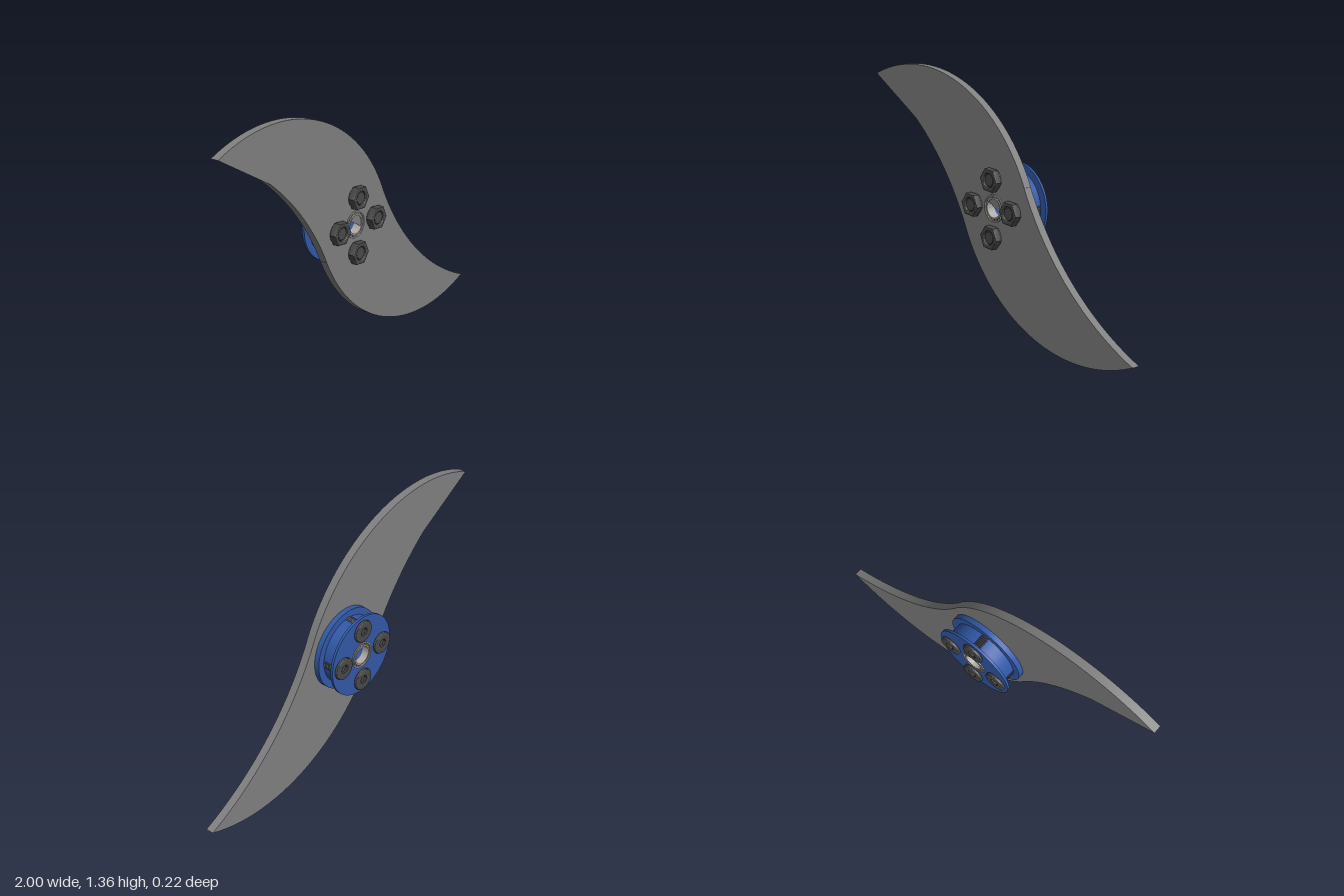
import * as THREE from 'three';
import { toCreasedNormals } from 'three/addons/utils/BufferGeometryUtils.js';

const mat = (color) => new THREE.MeshStandardMaterial({ color });
const steel = mat(0x808080), blue = mat(0x3259a8), dark = mat(0x4a4a4a), silver = mat(0xb0aca6);

function mesh(name, geometry, material) {
  const m = new THREE.Mesh(toCreasedNormals(geometry, 0.5), material);
  m.name = name;
  return m;
}

// Profile of [radius, z] pairs, turned around the z axis
function turned(profile, segments = 64) {
  const pts = profile.map(([r, z]) => new THREE.Vector2(r, z));
  return new THREE.LatheGeometry(pts, segments).rotateX(Math.PI / 2);
}

function polygon(radius, sides, turn = 0, Type = THREE.Shape) {
  const pts = [];
  for (let i = 0; i < sides; i++) {
    const a = turn + (i / sides) * Math.PI * 2;
    pts.push(new THREE.Vector2(radius * Math.cos(a), radius * Math.sin(a)));
  }
  return new Type(pts);
}

// Bevelled plate with a hole, filling z0..z1
function plate(shape, hole, z0, z1, bevel) {
  shape.holes.push(hole);
  return new THREE.ExtrudeGeometry(shape, {
    depth: z1 - z0 - 2 * bevel, bevelEnabled: true, bevelThickness: bevel,
    bevelSize: bevel, bevelSegments: 3,
  }).translate(0, 0, z0 + bevel);
}

// S-shaped blade: one convex and one concave arc, repeated after a half turn
function bladeGeometry() {
  const s = new THREE.Shape();
  for (const k of [1, -1]) {
    const half = k === 1 ? 0 : Math.PI;
    s.absarc(-0.62 * k, -0.26 * k, 0.94, Math.atan2(0.86, -0.38) + half, Math.atan2(0.401, 0.85) + half, true);
    s.absarc(1.59 * k, 0.782 * k, 1.504, Math.atan2(-0.642, -1.36) + half, Math.atan2(-1.382, -0.59) + half, false);
  }
  s.holes.push(polygon(0.072, 48, 0, THREE.Path));
  return new THREE.ExtrudeGeometry(s, { depth: 0.044, bevelEnabled: false, curveSegments: 40 }).translate(0, 0, 0.027);
}

function createBolt() {
  const bolt = new THREE.Group();
  bolt.name = 'bolt';

  // Threaded shank, its ridges showing through the drum wall
  const profile = [[0, -0.097], [0.038, -0.097]];
  for (let z = -0.08; z < 0.02; z += 0.01) profile.push([0.038, z], [0.043, z + 0.005]);
  profile.push([0.038, 0.025], [0.036, 0.03], [0.036, 0.102], [0.031, 0.107], [0, 0.107]);
  bolt.add(mesh('shank', turned(profile, 24), dark));

  // Button head with hex socket
  bolt.add(mesh('boltHead', plate(polygon(0.054, 36), polygon(0.03, 6, 0, THREE.Path), -0.112, -0.093, 0.007), dark));

  // Collar and hex nut
  bolt.add(mesh('nutCollar', turned([[0.036, 0.07], [0.055, 0.07], [0.055, 0.077], [0.036, 0.077]], 36), dark));
  bolt.add(mesh('nut', plate(polygon(0.06, 6, -0.1), polygon(0.042, 24, 0, THREE.Path), 0.075, 0.113, 0.005), dark));
  return bolt;
}

// Ball bearing between z0 and z1, grooved on both faces
function createBearing(z0, z1) {
  const bearing = new THREE.Group();
  bearing.name = 'bearing';
  const ring = (a, b) => turned([[a, z0], [b, z0], [b, z1], [a, z1], [a, z0]], 48);
  bearing.add(mesh('innerRace', ring(0.049, 0.057), silver));
  bearing.add(mesh('outerRace', ring(0.066, 0.073), silver));
  bearing.add(mesh('cage', turned([[0.056, z0 + 0.008], [0.067, z0 + 0.008], [0.067, z1 - 0.008], [0.056, z1 - 0.008]], 48), dark));
  for (const z of [z0 + 0.008, z1 - 0.008]) {
    for (let i = 0; i < 18; i++) {
      const a = (i / 18) * Math.PI * 2;
      const ball = mesh('ball', new THREE.SphereGeometry(0.005, 8, 6), silver);
      ball.position.set(0.0615 * Math.cos(a), 0.0615 * Math.sin(a), z);
      bearing.add(ball);
    }
  }
  return bearing;
}

export function createModel() {
  const model = new THREE.Group();
  model.name = 'spinner';
  const rotor = new THREE.Group();
  rotor.name = 'rotor';
  rotor.position.y = 0.68;
  model.add(rotor);

  rotor.add(mesh('blade', bladeGeometry(), steel));

  // Hub: thick front flange, drum, thin rear flange, bore with a seat for the rear bearing
  rotor.add(mesh('hub', turned([
    [0.072, -0.094], [0.226, -0.094], [0.226, -0.08], [0.187, -0.08], [0.187, -0.002],
    [0.226, -0.002], [0.226, 0.027], [0.053, 0.027], [0.053, -0.06], [0.072, -0.06], [0.072, -0.094],
  ], 72), blue));

  rotor.add(createBearing(0.028, 0.077), createBearing(-0.099, -0.06));

  // Four bolts around the bore
  for (let i = 0; i < 4; i++) {
    const bolt = createBolt();
    const a = (i * Math.PI) / 2;
    bolt.position.set(0.15 * Math.cos(a), 0.15 * Math.sin(a), 0);
    rotor.add(bolt);
  }
  return model;
}
